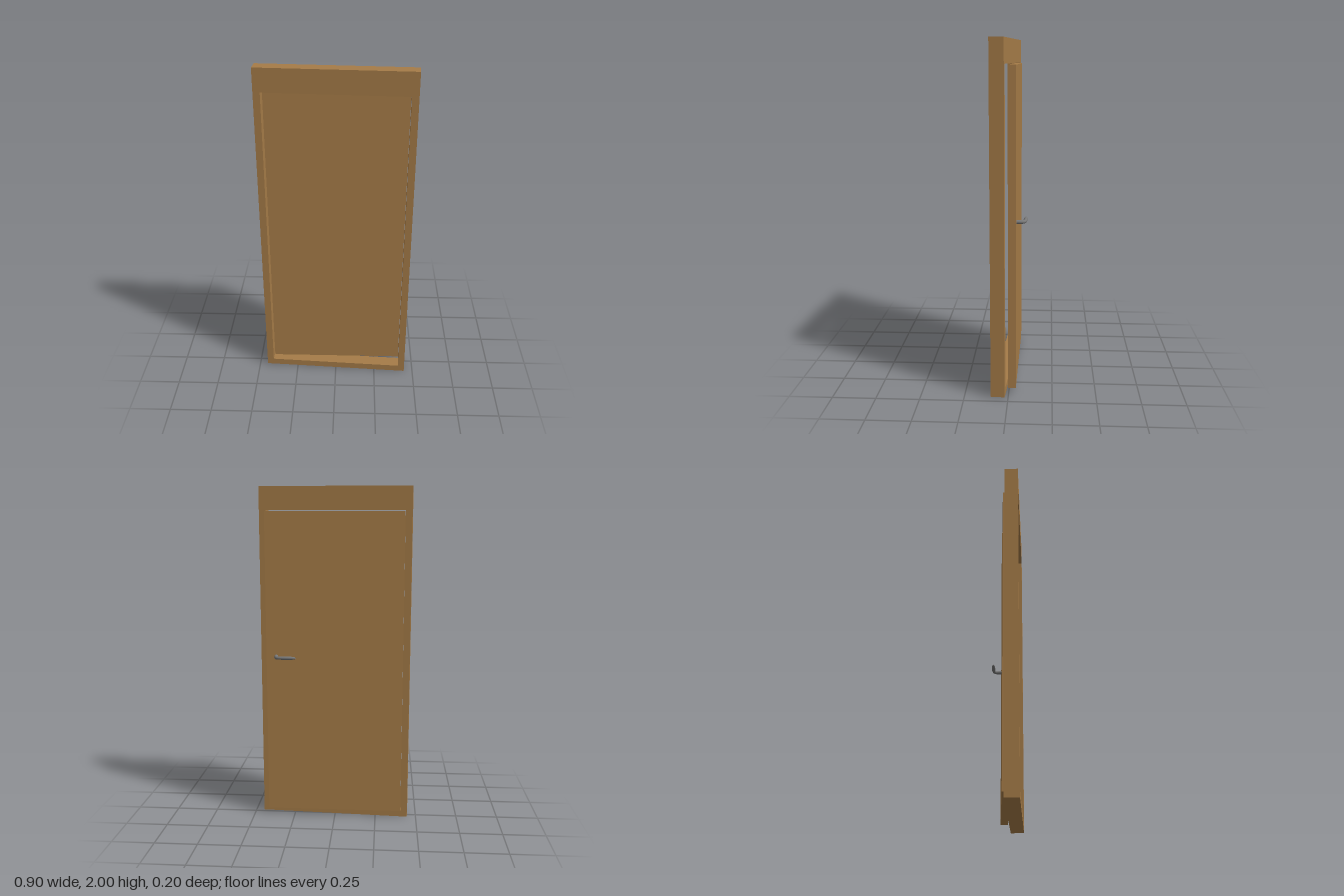
import * as THREE from 'three';

const wood = new THREE.MeshStandardMaterial({ color: 0xa67c48 });
const metal = new THREE.MeshStandardMaterial({ color: 0x777777 });

const rect = (Type, x0, y0, x1, y1) => new Type([
  new THREE.Vector2(x0, y0), new THREE.Vector2(x1, y0),
  new THREE.Vector2(x1, y1), new THREE.Vector2(x0, y1),
]);

// Tapered round lever swept along a path in the xz plane; each stop is [x, z, radius]
function leverGeometry(stops, steps = 40, sides = 16) {
  const path = new THREE.CatmullRomCurve3(stops.map(([x, z, r]) => new THREE.Vector3(x, r, z)));
  const positions = [], index = [];
  for (let i = 0; i <= steps; i++) {
    const p = path.getPoint(i / steps);
    const t = path.getTangent(i / steps).setY(0).normalize();
    for (let j = 0; j < sides; j++) {
      const a = (j / sides) * Math.PI * 2;
      const s = Math.cos(a) * p.y;
      positions.push(p.x + s * t.z, Math.sin(a) * p.y, p.z - s * t.x);
      if (i === steps) continue;
      const k = (j + 1) % sides, n = i * sides;
      index.push(n + j, n + k, n + sides + j, n + k, n + sides + k, n + sides + j);
    }
  }
  const g = new THREE.BufferGeometry();
  g.setAttribute('position', new THREE.Float32BufferAttribute(positions, 3));
  g.setIndex(index);
  g.computeVertexNormals();
  return g;
}

export function createModel() {
  const model = new THREE.Group();
  model.name = 'door';
  const add = (name, geometry, material) => {
    const mesh = new THREE.Mesh(geometry, material);
    mesh.name = name;
    model.add(mesh);
    return mesh;
  };

  // Frame with a tall opening, turned slightly so the door stands ajar
  const outline = rect(THREE.Shape, -0.449, 0, 0.449, 2);
  outline.holes.push(rect(THREE.Path, -0.409, 0.04, 0.409, 1.863));
  const frameGeometry = new THREE.ExtrudeGeometry(outline, { depth: 0.08, bevelEnabled: false });
  frameGeometry.translate(0, 0, -0.04);
  const frame = add('frame', frameGeometry, wood);
  frame.position.z = 0.0335;
  frame.rotation.y = -0.059;

  // Door leaf
  const leaf = add('doorLeaf', new THREE.BoxGeometry(0.815, 1.818, 0.044), wood);
  leaf.position.set(0.0025, 0.949, -0.02);

  // Bent lever handle on the back
  const handle = add('handle', leverGeometry([
    [0.351, -0.041, 0.0115], [0.35, -0.066, 0.0105], [0.344, -0.082, 0.01],
    [0.328, -0.089, 0.0095], [0.29, -0.0915, 0.011], [0.255, -0.092, 0.0095],
    [0.235, -0.0925, 0.006], [0.227, -0.093, 0.0004],
  ]), metal);
  handle.position.y = 1.003;

  return model;
}
